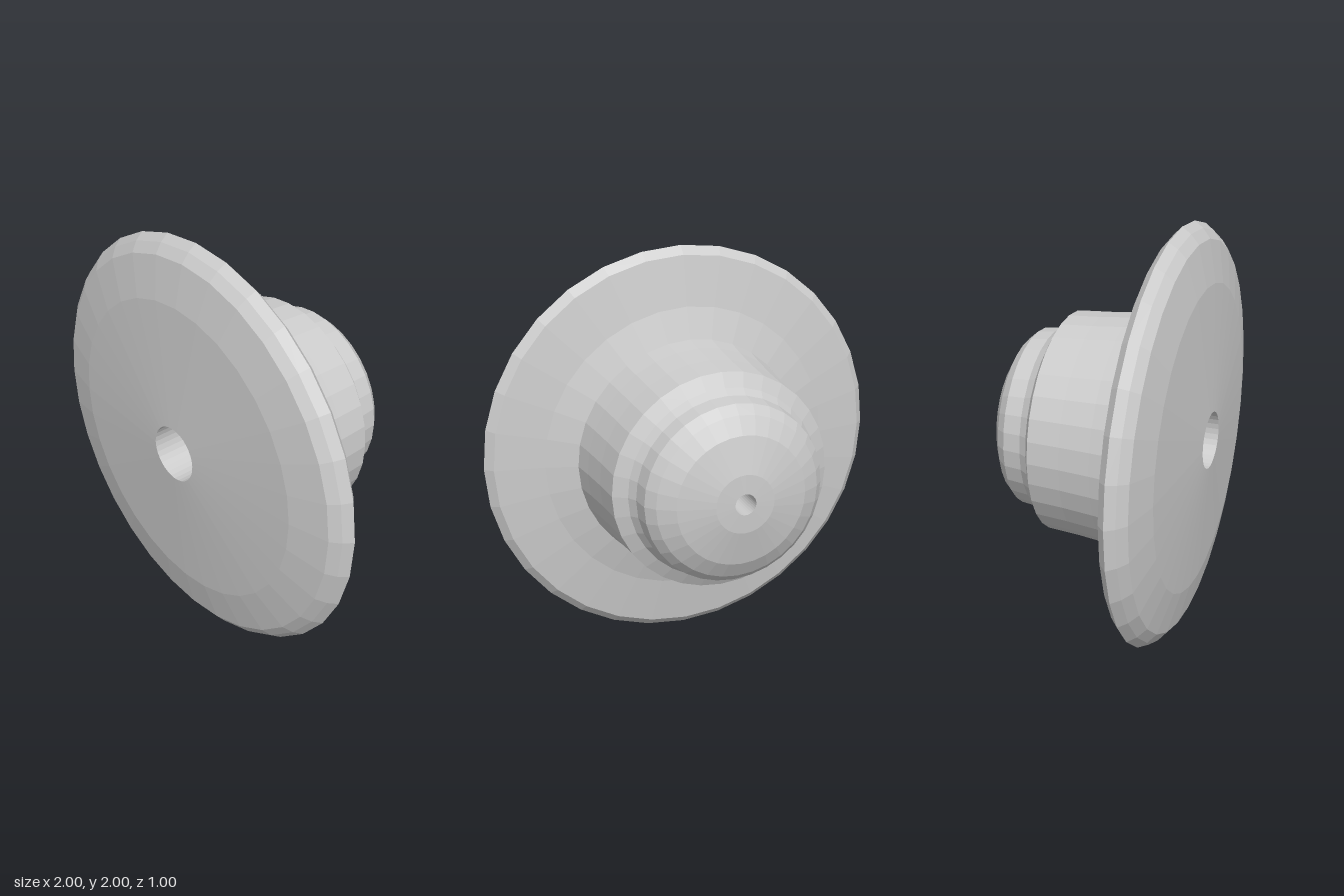
import * as THREE from 'three';

const SIDES = 32;

// Each part is a turned profile of [radius, z] points, listed back to front.
const profiles = {
  dome: [[0.05, -0.5], [0.14, -0.496], [0.31, -0.455], [0.39, -0.41], [0.43, -0.365],
    [0.44, -0.28], [0.465, -0.24], [0.53, -0.205]],
  hub: [[0.53, -0.205], [0.54, -0.05], [0.555, 0.1], [0.57, 0.21]],
  flange: [[0.57, 0.21], [0.72, 0.255], [0.96, 0.295], [1, 0.333], [0.97, 0.375],
    [0.925, 0.412], [0.73, 0.455], [0.135, 0.497]],
  // stepped hole: wide at the front, narrow through the dome
  bore: [[0.135, 0.497], [0.135, -0.25], [0.05, -0.25], [0.05, -0.5]],
};

export function createModel() {
  const group = new THREE.Group();
  const material = new THREE.MeshStandardMaterial({ color: 0xcccccc, flatShading: true });
  for (const [name, profile] of Object.entries(profiles)) {
    const points = profile.map(([r, z]) => new THREE.Vector2(r, z));
    const geometry = new THREE.LatheGeometry(points, SIDES);
    geometry.rotateX(Math.PI / 2); // turn the lathe axis to face +z
    const mesh = new THREE.Mesh(geometry, material);
    mesh.name = name;
    mesh.position.y = 1;
    group.add(mesh);
  }
  return group;
}
